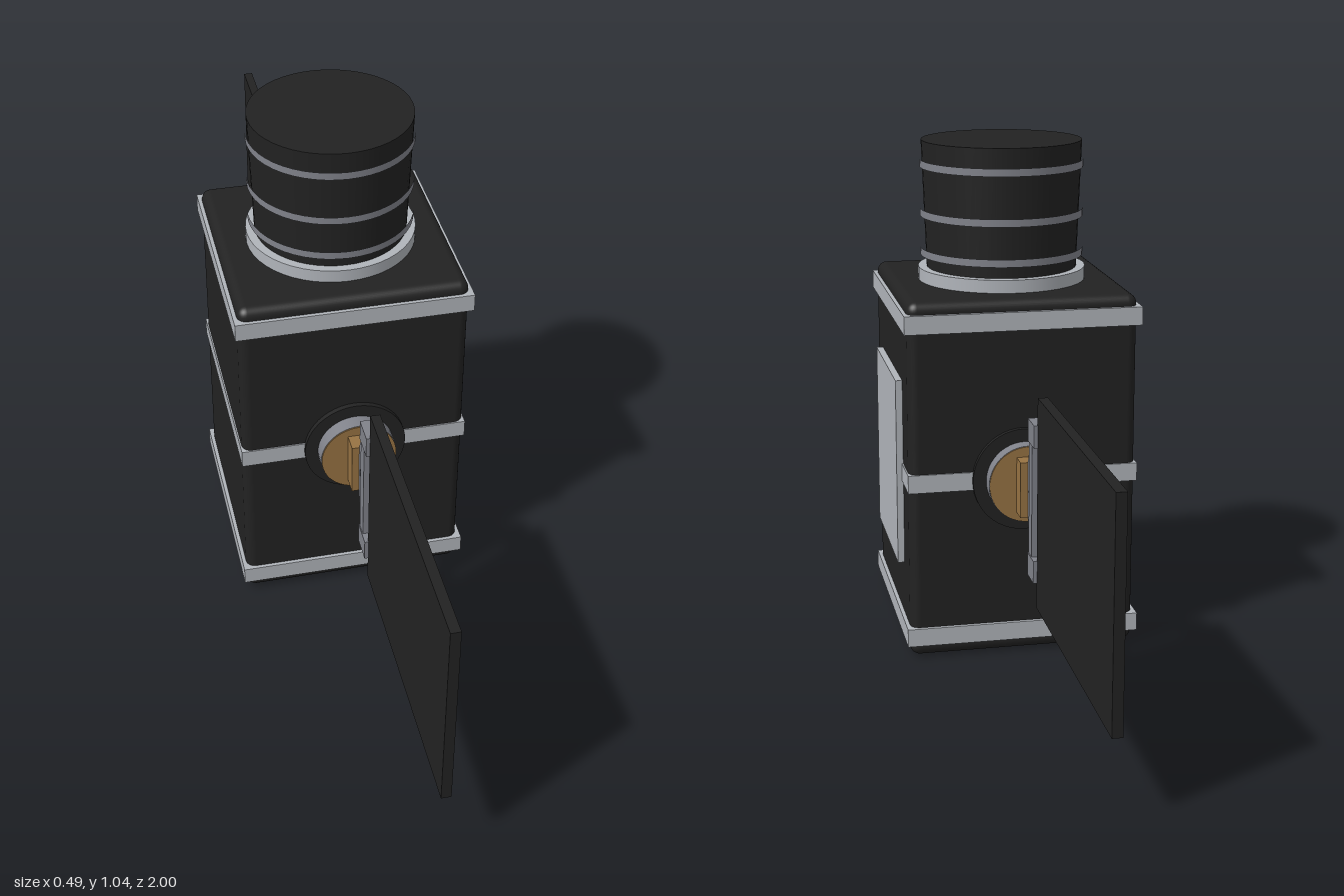
import * as THREE from 'three';
import { RoundedBoxGeometry } from 'three/addons/geometries/RoundedBoxGeometry.js';

const mat = (name, color) => {
  const m = new THREE.MeshStandardMaterial({ color });
  m.name = name;
  return m;
};

export function createModel() {
  const black = mat('black', 0x222222);
  const silver = mat('silver', 0xb0b4ba);
  const grey = mat('grey', 0x80828a);
  const gold = mat('gold', 0x977343);

  const model = new THREE.Group();
  model.name = 'satellite';
  const core = new THREE.Group();
  core.name = 'core';
  core.position.x = -0.004;
  model.add(core);

  const add = (parent, name, geometry, material, x = 0, y = 0, z = 0) => {
    const mesh = new THREE.Mesh(geometry, material);
    mesh.name = name;
    mesh.position.set(x, y, z);
    parent.add(mesh);
    return mesh;
  };
  const box = (w, h, d) => new THREE.BoxGeometry(w, h, d);
  const disc = (r, depth) => new THREE.CylinderGeometry(r, r, depth, 48).rotateX(Math.PI / 2);

  // Body with its three bands and one flat side plate
  add(core, 'body', new RoundedBoxGeometry(0.472, 0.75, 0.472, 4, 0.02), black, 0, 0.375, 0);
  add(core, 'lowerBand', box(0.488, 0.038, 0.488), silver, 0, 0.045, 0);
  add(core, 'middleBand', box(0.478, 0.038, 0.478), silver, 0, 0.376, 0);
  add(core, 'upperBand', box(0.488, 0.038, 0.488), silver, 0, 0.707, 0);
  add(core, 'sidePlate', box(0.016, 0.394, 0.298), silver, 0.242, 0.375, 0);

  // Telescope barrel, slightly wider at the top, with open hoops round it
  add(core, 'collar', new THREE.CylinderGeometry(0.176, 0.176, 0.03, 48), silver, 0, 0.762, 0);
  add(core, 'barrel', new THREE.CylinderGeometry(0.168, 0.157, 0.285, 48), black, 0, 0.9, 0);
  for (const y of [0.81, 0.892, 0.994]) {
    add(core, 'barrelHoop', new THREE.CylinderGeometry(0.171, 0.171, 0.016, 48, 1, true), grey, 0, y, 0);
  }

  // Yoke outline drawn in depth (u) and height (v), with a triangular opening
  const yoke = new THREE.Shape([
    [0.39, 0.16], [0.362, 0.16], [0.318, 0.055], [0.318, -0.055], [0.362, -0.16], [0.39, -0.16],
  ].map(([u, v]) => new THREE.Vector2(u, v)));
  yoke.holes.push(new THREE.Path([[0.36, 0.0], [0.343, 0.045], [0.328, 0], [0.343, -0.045]]
    .map(([u, v]) => new THREE.Vector2(u, v))));
  const yokeGeometry = new THREE.ExtrudeGeometry(yoke, { depth: 0.018, bevelEnabled: false })
    .translate(0, 0, -0.009).rotateY(-Math.PI / 2);

  // Panel assembly, turned half round for the back
  for (const side of ['front', 'back']) {
    const wing = new THREE.Group();
    wing.name = side + 'Wing';
    wing.position.y = 0.377;
    if (side === 'back') wing.rotation.y = Math.PI;
    core.add(wing);

    add(wing, 'mountRing', disc(0.107, 0.02), black, 0, 0, 0.237);
    add(wing, 'mountDrum', disc(0.08, 0.045), grey, 0, 0, 0.257);
    add(wing, 'drumFace', disc(0.079, 0.004), gold, 0, 0, 0.28);
    add(wing, 'driveBlock', box(0.048, 0.116, 0.04), gold, 0, 0, 0.3);
    add(wing, 'yoke', yokeGeometry, grey);
    add(wing, 'yokeBar', box(0.032, 0.29, 0.028), grey, 0, 0, 0.376);
    for (const s of [-1, 1]) {
      add(wing, 'yokeFoot', box(0.036, 0.046, 0.056), grey, 0, s * 0.139, 0.388);
    }
    add(wing, 'solarPanel', box(0.02, 0.432, 0.588), black, 0, 0, 0.706);
  }
  return model;
}
